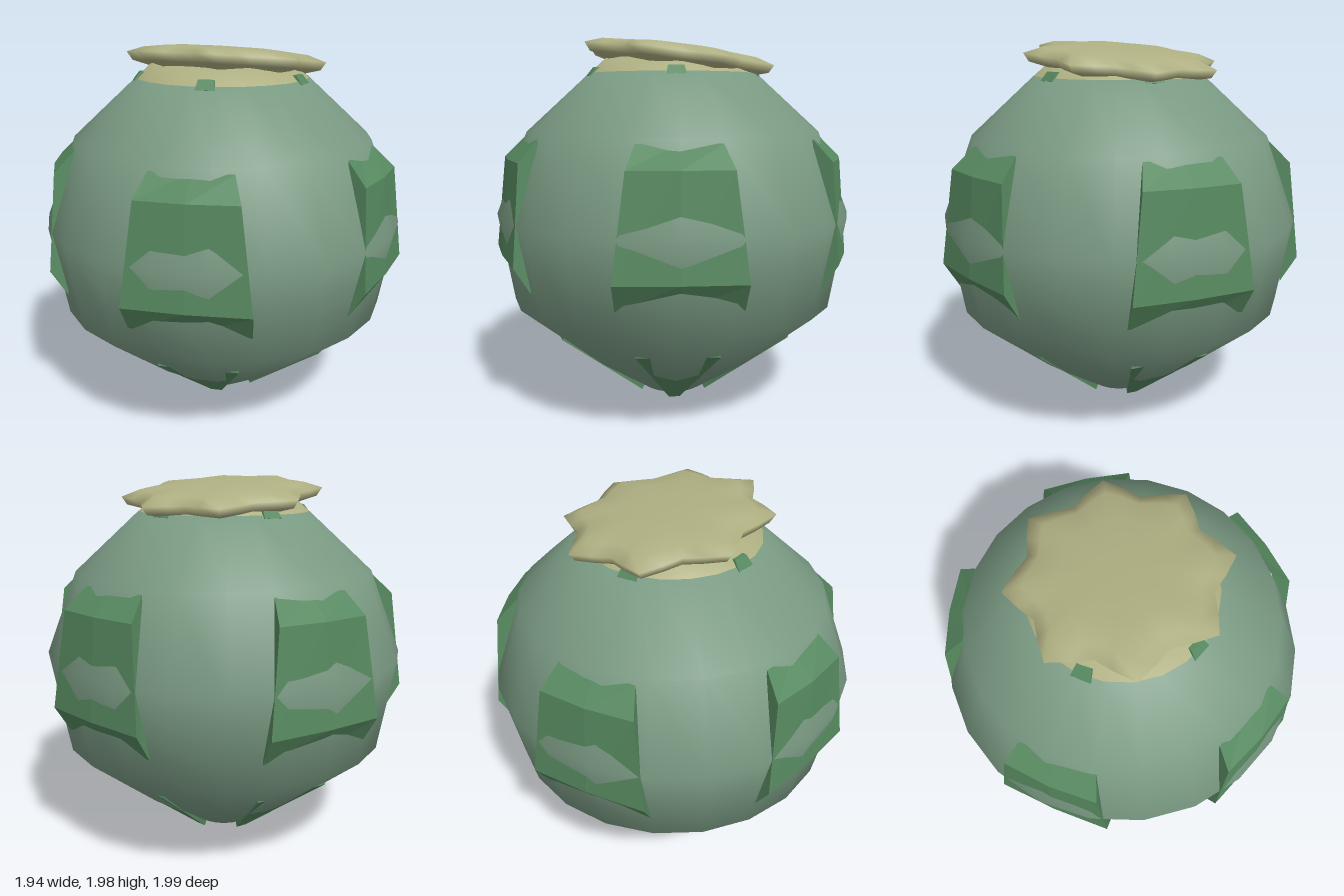
import * as THREE from 'three';
import { mergeVertices } from 'three/addons/utils/BufferGeometryUtils.js';

const mat = (name, color) => {
  const m = new THREE.MeshStandardMaterial({ color });
  m.name = name;
  return m;
};

// Faceted slab facing +x; rows run bottom to top as [radius, y, half width, middle bulge]
function slab(rows) {
  const pos = [];
  const point = ([r, y, half, bulge = 0], t) => [r + (t === 0 ? bulge : 0), y, t * half];
  const quad = (a, b, c, d) => pos.push(...a, ...b, ...c, ...a, ...c, ...d);
  for (let i = 0; i < rows.length - 1; i++) {
    for (const t of [1, 0]) {
      quad(point(rows[i], t), point(rows[i], t - 1), point(rows[i + 1], t - 1), point(rows[i + 1], t));
    }
  }
  quad(...rows.map((row) => point(row, 1)));
  quad(...rows.map((row) => point(row, -1)).reverse());
  const g = new THREE.BufferGeometry();
  g.setAttribute('position', new THREE.Float32BufferAttribute(pos, 3));
  g.computeVertexNormals();
  return g;
}

const lathe = (points, segments) =>
  new THREE.LatheGeometry(points.map(([x, y]) => new THREE.Vector2(x, y)), segments, Math.PI / 2);

// Eight-pointed cushion, tilted down towards the back
function starCushion() {
  const profile = [[0, -0.07], [0.72, -0.07], [0.96, -0.03], [1, 0.012], [0.86, 0.045], [0.6, 0.06], [0.3, 0.064], [0, 0.065]];
  let g = lathe(profile, 32);
  g.deleteAttribute('uv');
  g.deleteAttribute('normal');
  const p = g.attributes.position;
  for (let i = 0; i < p.count; i++) {
    const x = p.getX(i), z = p.getZ(i), s = Math.hypot(x, z);
    const wave = Math.abs(Math.sin(4 * Math.atan2(z, x) / 1)); // 1 on the points, 0 in the notches
    const tip = Math.pow(1 - 2 * Math.acos(Math.min(1, wave)) / Math.PI, 1.25);
    const radius = 0.435 + 0.1 * tip * s * s;
    const nz = z * radius - 0.03;
    p.setXYZ(i, x * radius, 1.885 + p.getY(i) + 0.12 * (nz + 0.03), nz);
  }
  g = mergeVertices(g, 1e-4);
  g.computeVertexNormals();
  return g;
}

export function createModel() {
  const model = new THREE.Group();
  model.name = 'plantPod';
  const skin = mat('sage green skin', 0x7a9a83);
  const leaf = mat('leaf green', 0x56885f);
  const cream = mat('dry cream', 0xb0b083);

  const add = (name, geometry, material, angle = 0) => {
    const mesh = new THREE.Mesh(geometry, material);
    mesh.name = name;
    mesh.rotation.y = angle;
    model.add(mesh);
  };

  // Round body
  add('body', lathe([[0, 0.02], [0.17, 0.02], [0.5, 0.245], [0.89, 0.57], [0.97, 1.05], [0.8, 1.49], [0.46, 1.8], [0, 1.81]], 22), skin);

  // Collar and lid
  add('collar', lathe([[0.465, 1.793], [0.37, 1.88], [0, 1.88]], 22), cream);
  add('lid', starCushion(), cream);

  // Parts repeated five times around the body
  const panel = slab([[0.86, 0.71, 0.3], [0.943, 0.85, 0.31, 0.014], [0.893, 1.355, 0.245, 0.018], [0.785, 1.465, 0.2]]);
  const bottomLeaf = slab([[0.17, 0.05, 0.025], [0.2, 0.005, 0.03], [0.69, 0.42, 0.21], [0.68, 0.47, 0.2]]);
  const stub = slab([[0.42, 1.77, 0.05], [0.475, 1.785, 0.05], [0.44, 1.83, 0.04], [0.38, 1.83, 0.035]]);
  const nub = new THREE.ConeGeometry(0.022, 0.04, 5).rotateX(Math.PI).translate(0.13, 0.02, 0);
  for (let i = 0; i < 5; i++) {
    const angle = (i * Math.PI * 2) / 5;
    add('sidePanel', panel, leaf, angle);
    add('bottomLeaf', bottomLeaf, leaf, angle);
    add('topStub', stub, leaf, angle);
    add('rootNub', nub, cream, angle + Math.PI / 5);
  }
  return model;
}
